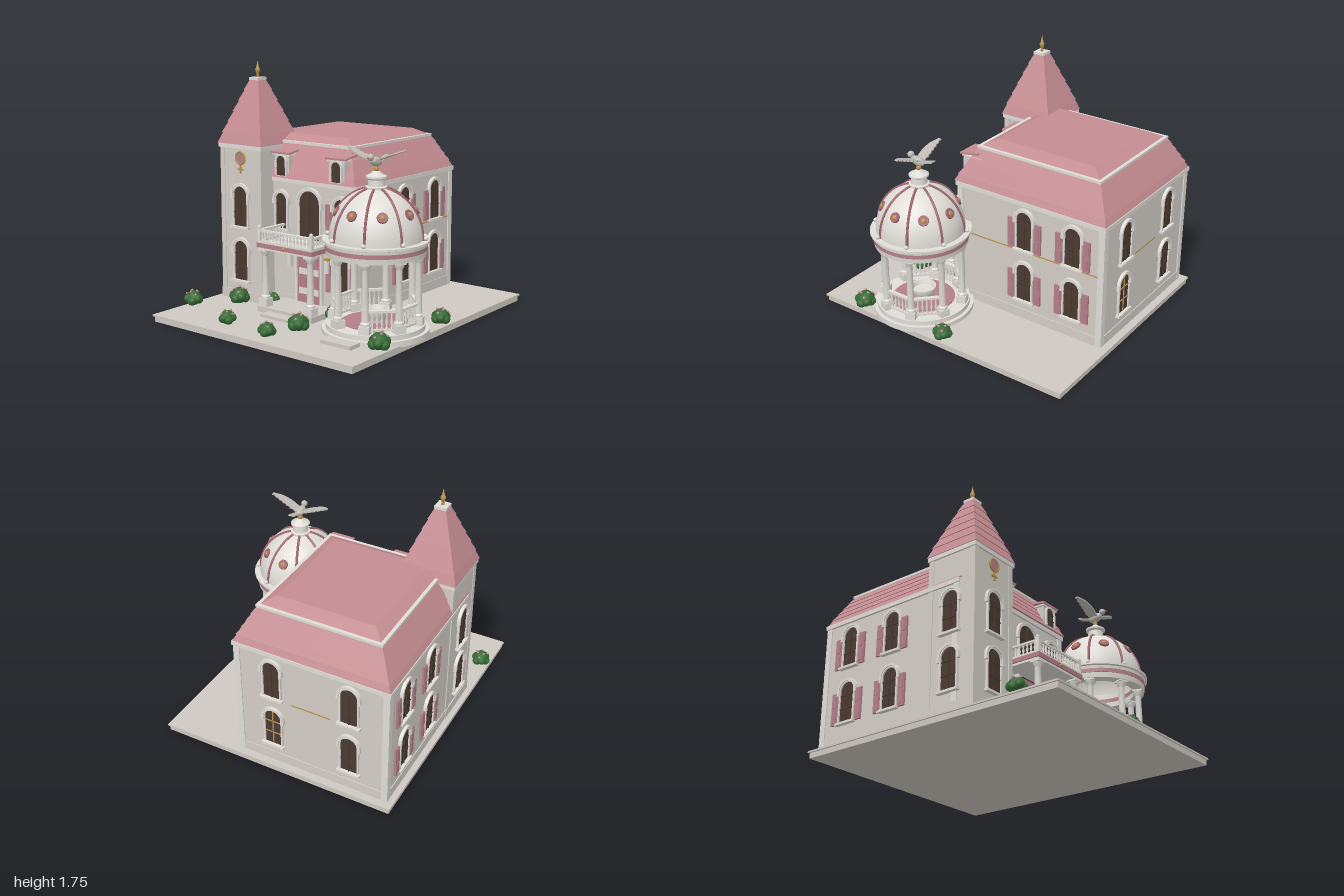
import * as THREE from 'three';
import { toCreasedNormals } from 'three/addons/utils/BufferGeometryUtils.js';

const mat = (name, color, extra = {}) => Object.assign(new THREE.MeshStandardMaterial({ color, ...extra }), { name });
const M = {
  wall: mat('wall plaster', 0xd3cec6),
  trim: mat('pale trim', 0xe0ddd7),
  base: mat('paving', 0xcdc8c0),
  roof: mat('roof pink', 0xc48d92),
  pink: mat('shutter pink', 0xb57e87),
  rib: mat('deep rose', 0xa0656f),
  glass: mat('dark glass', 0x4a3a31),
  gold: mat('gold', 0xb8924a),
  leaf: mat('leaf green', 0x356b33),
  bird: mat('bird stone', 0xbfbbb4),
};

function add(parent, name, geo, m, x = 0, y = 0, z = 0) {
  const mesh = new THREE.Mesh(geo, m);
  mesh.name = name;
  mesh.position.set(x, y, z);
  parent.add(mesh);
  return mesh;
}
function group(parent, name, x = 0, y = 0, z = 0, ry = 0) {
  const g = new THREE.Group();
  g.name = name;
  g.position.set(x, y, z);
  g.rotation.y = ry;
  parent.add(g);
  return g;
}
// Box standing on y0
const box = (p, name, m, w, h, d, x, y0, z) => add(p, name, new THREE.BoxGeometry(w, h, d), m, x, y0 + h / 2, z);
// Box with a scaled top, standing on y0
function frustum(p, name, m, w0, d0, w1, d1, h, x, y0, z) {
  const g = new THREE.BoxGeometry(w0, h, d0), a = g.attributes.position;
  for (let i = 0; i < a.count; i++) if (a.getY(i) > 0) a.setXYZ(i, a.getX(i) * w1 / w0, h / 2, a.getZ(i) * d1 / d0);
  g.computeVertexNormals();
  return add(p, name, g, m, x, y0 + h / 2, z);
}
// Sloping roof made of overlapping courses
function courses(p, name, n, w0, d0, w1, d1, y0, y1, x, z, lip) {
  const h = (y1 - y0) / n, mix = THREE.MathUtils.lerp;
  for (let i = 0; i < n; i++) {
    const a = i / n, b = (i + 1) / n, o = i ? lip : 0;
    frustum(p, name, M.roof, mix(w0, w1, a) + o, mix(d0, d1, a) + o, mix(w0, w1, b), mix(d0, d1, b), h, x, y0 + i * h, z);
  }
}
const lathe = (pts, seg = 16) =>
  toCreasedNormals(new THREE.LatheGeometry(pts.map(([r, y]) => new THREE.Vector2(r, y)), seg), 0.6);

function archShape(w, h, Kind = THREE.Shape) {
  const s = new Kind(), r = w / 2;
  s.moveTo(-r, 0);
  s.lineTo(r, 0);
  s.lineTo(r, h - r);
  s.absarc(0, h - r, r, 0, Math.PI, false);
  s.lineTo(-r, 0);
  return s;
}
const extrude = (s, depth) => new THREE.ExtrudeGeometry(s, { depth, bevelEnabled: false, curveSegments: 10 });

// Arched window facing +z in its own frame, with surround, hood, sill and optional shutters
function archWindow(p, x, y, z, ry, w, h, { shutters = [], bars = M.glass, hood = true } = {}) {
  const g = group(p, 'archedWindow', x, y, z, ry), r = w / 2, top = h - r;
  add(g, 'glass', extrude(archShape(w, h), 0.006), M.glass);
  const ring = archShape(w + 0.022, h + 0.011);
  ring.holes.push(archShape(w - 0.002, h - 0.001, THREE.Path));
  add(g, 'surround', extrude(ring, 0.016), M.trim);
  box(g, 'mullion', bars, 0.007, h - 0.005, 0.012, 0, 0, 0.006);
  for (const t of [0.33, 0.66]) box(g, 'glazingBar', bars, w, 0.006, 0.01, 0, h * t, 0.006);
  if (hood) {
    const s = new THREE.Shape();
    s.absarc(0, top, r + 0.024, 0, Math.PI, false);
    s.absarc(0, top, r + 0.008, Math.PI, 0, true);
    add(g, 'hood', extrude(s, 0.022), M.trim);
    for (const k of [-1, 1]) box(g, 'hoodEnd', M.trim, 0.018, 0.03, 0.022, k * (r + 0.016), top - 0.03, 0.011);
    box(g, 'sill', M.trim, w + 0.045, 0.016, 0.035, 0, -0.016, 0.012);
  }
  for (const k of shutters) {
    const sx = k * (r + 0.045);
    box(g, 'shutter', M.pink, 0.054, 0.22, 0.014, sx, -0.005, 0.007);
    for (const t of [0.01, 0.115]) box(g, 'shutterPanel', M.pink, 0.036, 0.085, 0.006, sx, t, 0.015);
  }
  return g;
}

const balusterGeo = lathe([[0.008, 0], [0.008, 0.1], [0.004, 0.2], [0.01, 0.42], [0.004, 0.75], [0.008, 0.9], [0.008, 1]], 8);
function railing(p, x0, z0, x1, z1, y, h, n) {
  const len = Math.hypot(x1 - x0, z1 - z0);
  const g = group(p, 'railing', (x0 + x1) / 2, y, (z0 + z1) / 2, Math.atan2(z0 - z1, x1 - x0));
  box(g, 'bottomRail', M.trim, len, 0.014, 0.02, 0, 0, 0);
  box(g, 'topRail', M.trim, len, 0.014, 0.026, 0, h - 0.014, 0);
  for (let i = 0; i < n; i++)
    add(g, 'baluster', balusterGeo, M.trim, ((i + 0.5) / n - 0.5) * len, 0.012, 0).scale.set(1, h - 0.024, 1);
}
function column(p, x, z, y0, y1, r, ry = 0) {
  const g = group(p, 'column', x, y0, z, ry), h = y1 - y0;
  box(g, 'pedestal', M.trim, r * 2.9, 0.055, r * 2.9, 0, 0, 0);
  add(g, 'shaft', lathe([[r * 1.35, 0.055], [r * 1.35, 0.07], [r, 0.08], [r * 0.85, h - 0.05], [r * 1.2, h - 0.035], [r * 1.4, h - 0.015]], 14), M.trim);
  box(g, 'capital', M.trim, r * 2.9, 0.016, r * 2.9, 0, h - 0.016, 0);
}

function buildHouse(root) {
  const g = group(root, 'house'), cx = -0.28, cz = -0.36;
  box(g, 'walls', M.wall, 1.1, 0.9, 1.16, cx, 0.04, cz);
  box(g, 'plinth', M.wall, 1.112, 0.08, 1.172, cx, 0.04, cz);
  for (const x of [-0.815, 0.255]) for (const z of [-0.925, 0.205])
    box(g, 'cornerPilaster', M.trim, 0.045, 0.88, 0.045, x, 0.04, z);
  box(g, 'cornice', M.trim, 1.13, 0.03, 1.19, cx, 0.92, cz);
  box(g, 'goldCourse', M.gold, 0.012, 0.008, 1.09, 0.267, 0.571, cz);
  box(g, 'goldCourse', M.gold, 0.28, 0.008, 0.012, cx, 0.571, -0.937);
  // Mansard roof and upper hip
  courses(g, 'mansardCourse', 5, 1.12, 1.2, 0.88, 0.96, 0.95, 1.18, cx, -0.35, 0.012);
  box(g, 'roofCurb', M.trim, 0.89, 0.018, 0.97, cx, 1.178, -0.35);
  frustum(g, 'upperRoof', M.roof, 0.85, 0.93, 0.69, 0.76, 0.044, cx, 1.194, -0.35);
  // Dormers
  for (const x of [-0.365, 0.12]) {
    const d = group(g, 'dormer', x, 0.95, 0);
    box(d, 'dormerBox', M.wall, 0.13, 0.16, 0.16, 0, 0, 0.155);
    archWindow(d, 0, 0.015, 0.236, 0, 0.082, 0.14, { hood: false });
    box(d, 'dormerTrim', M.trim, 0.155, 0.012, 0.17, 0, 0.155, 0.16);
    const r = box(d, 'dormerRoof', M.roof, 0.17, 0.014, 0.15, 0, 0.178, 0.18);
    r.rotation.x = 0.15;
  }
  // Side and back windows
  for (const z of [-0.33, -0.71]) for (const y of [0.2, 0.595]) {
    archWindow(g, 0.27, y, z, Math.PI / 2, 0.12, 0.28, { shutters: [-1, 1] });
    archWindow(g, -0.83, y, z, -Math.PI / 2, 0.12, 0.28, { shutters: [-1, 1] });
  }
  for (const x of [0, -0.56]) for (const y of [0.2, 0.595])
    archWindow(g, x, y, -0.94, Math.PI, 0.12, 0.28, { bars: x === 0 && y < 0.5 ? M.gold : M.glass });
  // Front windows
  archWindow(g, 0.15, 0.2, 0.22, 0, 0.12, 0.28, { shutters: [-1, 1] });
  archWindow(g, 0.15, 0.59, 0.22, 0, 0.12, 0.26, { shutters: [-1, 1] });
  archWindow(g, -0.38, 0.59, 0.22, 0, 0.1, 0.25);
  archWindow(g, -0.125, 0.535, 0.22, 0, 0.18, 0.345);
}

function buildTower(root) {
  const g = group(root, 'tower', -0.645, 0, 0.165);
  box(g, 'towerWalls', M.wall, 0.375, 1.1, 0.375, 0, 0.04, 0);
  box(g, 'towerPlinth', M.wall, 0.39, 0.08, 0.39, 0, 0.04, 0);
  for (const x of [-1, 1]) for (const z of [-1, 1])
    box(g, 'towerPilaster', M.wall, 0.04, 1.1, 0.04, x * 0.172, 0.04, z * 0.172);
  box(g, 'towerCornice', M.trim, 0.4, 0.035, 0.4, 0, 1.14, 0);
  courses(g, 'spireCourse', 6, 0.41, 0.41, 0.075, 0.075, 1.17, 1.615, 0, 0, 0.012);
  box(g, 'spireCap', M.trim, 0.085, 0.02, 0.085, 0, 1.61, 0);
  add(g, 'finial', lathe([[0.012, 1.63], [0.008, 1.65], [0.016, 1.67], [0.018, 1.685], [0.01, 1.7], [0, 1.75]], 10), M.gold);
  for (const y of [0.2, 0.59]) {
    archWindow(g, 0, y, 0.188, 0, 0.125, 0.285);
    archWindow(g, -0.188, y, 0, -Math.PI / 2, 0.125, 0.285);
  }
  // Round medallion with a small cross
  add(g, 'medallionRing', new THREE.TorusGeometry(0.043, 0.007, 8, 28), M.gold, 0, 1.075, 0.192);
  add(g, 'medallionFace', new THREE.CylinderGeometry(0.04, 0.04, 0.008, 24), M.pink, 0, 1.075, 0.191).rotation.x = Math.PI / 2;
  box(g, 'medallionStem', M.gold, 0.011, 0.07, 0.01, 0, 0.965, 0.192);
  box(g, 'medallionBar', M.gold, 0.05, 0.011, 0.01, 0, 0.99, 0.192);
}

function buildPorch(root) {
  const g = group(root, 'porch', -0.127, 0, 0);
  box(g, 'porchFloor', M.base, 0.485, 0.045, 0.28, 0, 0.045, 0.36);
  box(g, 'porchStep', M.base, 0.28, 0.025, 0.09, 0, 0.045, 0.54);
  box(g, 'balconySlab', M.trim, 0.47, 0.02, 0.27, 0, 0.49, 0.355);
  box(g, 'balconyBand', M.pink, 0.488, 0.03, 0.28, 0, 0.505, 0.36);
  box(g, 'balconyFloor', M.trim, 0.475, 0.006, 0.27, 0, 0.533, 0.358);
  add(g, 'balconyBoss', new THREE.SphereGeometry(0.012, 10, 8), M.gold, 0, 0.52, 0.502);
  for (const k of [-1, 1]) {
    column(g, k * 0.2, 0.46, 0.09, 0.495, 0.024);
    box(g, 'railPost', M.trim, 0.024, 0.105, 0.024, k * 0.228, 0.535, 0.483);
    add(g, 'postBall', new THREE.SphereGeometry(0.013, 10, 8), M.trim, k * 0.228, 0.645, 0.483);
    railing(g, k * 0.228, 0.23, k * 0.228, 0.475, 0.537, 0.09, 8);
    box(g, 'lantern', M.trim, 0.03, 0.09, 0.03, k * 0.165, 0.33, 0.24);
    box(g, 'lanternCap', M.gold, 0.036, 0.012, 0.036, k * 0.165, 0.42, 0.24);
    // Door leaf
    box(g, 'doorLeaf', M.pink, 0.1, 0.39, 0.02, k * 0.051, 0.09, 0.226);
    for (const y of [0.15, 0.29]) box(g, 'doorPanel', M.trim, 0.072, 0.045, 0.006, k * 0.051, y, 0.236);
    for (const y of [0.215, 0.36]) box(g, 'doorPanel', M.pink, 0.06, 0.055, 0.008, k * 0.051, y, 0.237);
    add(g, 'doorKnob', new THREE.SphereGeometry(0.007, 8, 6), M.gold, k * 0.012, 0.27, 0.242);
    box(g, 'doorJamb', M.trim, 0.018, 0.4, 0.03, k * 0.112, 0.09, 0.23);
  }
  box(g, 'transom', M.glass, 0.21, 0.015, 0.02, 0, 0.48, 0.226);
  railing(g, -0.216, 0.483, 0.216, 0.483, 0.537, 0.09, 14);
}

function buildGazebo(root) {
  const g = group(root, 'gazebo', 0.53, 0, 0.35), E = Math.PI / 4;
  add(g, 'platform', lathe([[0, 0.04], [0.35, 0.04], [0.35, 0.08], [0.325, 0.08], [0.325, 0.112], [0, 0.112]], 48), M.trim);
  add(g, 'rosePaving', new THREE.CylinderGeometry(0.22, 0.22, 0.006, 40), M.pink, 0, 0.114, 0);
  box(g, 'gazeboStep', M.base, 0.24, 0.03, 0.1, 0, 0.045, 0.375);
  add(g, 'basin', lathe([[0, 0.11], [0.06, 0.11], [0.06, 0.125], [0.075, 0.15], [0.09, 0.19], [0.09, 0.2], [0.078, 0.2], [0.068, 0.17], [0, 0.165]], 28), M.trim);
  // Entablature and dome, open underneath
  add(g, 'lowerRing', lathe([[0.25, 0.6], [0.25, 0.565], [0.322, 0.565], [0.326, 0.6], [0.25, 0.6]], 48), M.trim);
  add(g, 'roseBand', lathe([[0.25, 0.6], [0.329, 0.6], [0.329, 0.628], [0.25, 0.628], [0.25, 0.6]], 48), M.pink);
  add(g, 'upperRing', lathe([[0.25, 0.628], [0.33, 0.628], [0.333, 0.648], [0.347, 0.652], [0.347, 0.665], [0.25, 0.665], [0.25, 0.628]], 48), M.trim);
  const R = 0.305, H = 0.33, Y = 0.665;
  const arc = (o, t) => [(R + o) * Math.cos(t), Y + (H + o) * Math.sin(t)];
  const profile = [];
  for (let i = 0; i <= 14; i++) profile.push(arc(0, i / 14 * Math.PI / 2));
  for (let i = 14; i >= 0; i--) profile.push(arc(-0.012, i / 14 * Math.PI / 2));
  add(g, 'dome', lathe(profile, 48), M.trim);
  const ribCurve = new THREE.CatmullRomCurve3([0, 0.25, 0.5, 0.75, 1, 1.25, 1.42].map(t => new THREE.Vector3(0, arc(0.002, t)[1], arc(0.002, t)[0])));
  const ribGeo = new THREE.TubeGeometry(ribCurve, 20, 0.009, 6);
  for (let i = 0; i < 8; i++) {
    const a = (i + 0.5) * E, b = a + E;
    const s = group(g, 'gazeboBay', 0, 0, 0, a);
    add(s, 'domeRib', ribGeo, M.rib);
    add(s, 'ribBall', new THREE.SphereGeometry(0.015, 12, 8), M.trim, 0, 0.68, 0.325);
    column(s, 0, 0.28, 0.11, 0.57, 0.024);
    const m = group(g, 'domeMedallion', 0, 0, 0, i * E), [r, y] = arc(0.002, 0.58);
    const disc = group(m, 'disc', 0, y, r);
    disc.rotation.x = Math.PI / 2 - 0.55;
    add(disc, 'medallionDisc', new THREE.CylinderGeometry(0.034, 0.037, 0.014, 16), M.rib);
    add(disc, 'medallionCentre', new THREE.SphereGeometry(0.018, 12, 8), M.gold, 0, 0.005, 0).scale.y = 0.6;
    // The bays facing front and back stay open
    if (i !== 3 && i !== 7) railing(g, 0.28 * Math.sin(a), 0.28 * Math.cos(a), 0.28 * Math.sin(b), 0.28 * Math.cos(b), 0.125, 0.135, 7);
  }
  add(g, 'domeLantern', lathe([[0.07, 0.98], [0.07, 1.0], [0.055, 1.005], [0.052, 1.045], [0.068, 1.055], [0.068, 1.068], [0.035, 1.085], [0.02, 1.1], [0, 1.1]], 24), M.trim);
  add(g, 'perch', new THREE.SphereGeometry(0.018, 12, 8), M.gold, 0, 1.112, 0);

  // Bird with spread wings
  const b = group(g, 'bird', 0, 1.16, 0);
  const body = add(b, 'body', new THREE.SphereGeometry(0.032, 16, 12), M.bird, 0, 0, 0.005);
  body.scale.set(0.95, 0.95, 1.7);
  body.rotation.x = -0.25;
  add(b, 'head', new THREE.SphereGeometry(0.023, 14, 10), M.bird, 0, 0.033, 0.062);
  add(b, 'beak', new THREE.ConeGeometry(0.008, 0.03, 8), M.gold, 0, 0.03, 0.094).rotation.x = Math.PI / 2;
  const tail = box(b, 'tail', M.bird, 0.045, 0.008, 0.1, 0, 0.008, -0.08);
  tail.rotation.x = 0.3;
  for (const k of [-1, 1]) {
    add(b, 'leg', new THREE.CylinderGeometry(0.004, 0.004, 0.04, 6), M.gold, k * 0.012, -0.035, 0.005);
    const s = new THREE.Shape();
    s.moveTo(0, -0.03);
    s.quadraticCurveTo(0.09, -0.06, 0.17, -0.035);
    s.lineTo(0.225, -0.005);
    for (let i = 0; i < 6; i++) {
      s.lineTo(0.222 - i * 0.034, 0.018 + i * 0.004);
      s.lineTo(0.2 - i * 0.034, 0.01 + i * 0.004);
    }
    s.lineTo(0, 0.04);
    const wing = group(b, 'wing', k * 0.015, 0.006, 0.0, k < 0 ? Math.PI : 0);
    const w = add(wing, 'feathers', extrude(s, 0.009), M.bird);
    w.rotation.set(k > 0 ? -Math.PI / 2 : Math.PI / 2, 0, 0);
    if (k > 0) w.scale.y = 1;
    wing.rotation.set(0, k < 0 ? Math.PI : 0, 0.36 * 1);
  }
}

// Clipped shrub made of leafy lumps, topped with blossoms
function bush(root, x, z, r, seed) {
  const g = group(root, 'bush', x, 0.05, z, seed * 1.3);
  const leaf = new THREE.IcosahedronGeometry(1, 1);
  const lump = (px, py, pz, s) => add(g, 'foliage', leaf, M.leaf, px, py, pz).scale.set(s, s * 0.95, s);
  lump(0, r * 0.85, 0, r * 0.85);
  for (let i = 0; i < 6; i++) {
    const a = i * Math.PI / 3;
    lump(Math.cos(a) * r * 0.52, r * (0.62 + 0.2 * (i % 2)), Math.sin(a) * r * 0.52, r * 0.52);
    add(g, 'blossom', new THREE.IcosahedronGeometry(r * 0.13, 1), M.roof,
      Math.cos(a + 0.4) * r * (0.4 + 0.3 * (i % 2)), r * (1.6 - 0.28 * (i % 2)), Math.sin(a + 0.4) * r * (0.4 + 0.3 * (i % 2)));
  }
}

export function createModel() {
  const root = new THREE.Group();
  root.name = 'houseWithGazebo';
  box(root, 'groundSlab', M.base, 1.7, 0.04, 1.98, -0.02, 0, 0);
  box(root, 'groundTop', M.base, 1.72, 0.012, 2, -0.02, 0.038, 0);
  buildHouse(root);
  buildTower(root);
  buildPorch(root);
  buildGazebo(root);
  const spots = [[0.79, 0.03, 1], [-0.4, 0.315, 0.85], [-0.6, 0.435, 1.1], [0.15, 0.315, 0.85], [-0.82, 0.67, 1],
    [0.15, 0.675, 1.1], [-0.32, 0.845, 0.9], [0.065, 0.885, 0.9], [0.79, 0.665, 1.1]];
  spots[0][1] = -0.025;
  spots.forEach(([x, z, s], i) => bush(root, x, z, 0.066 * s, i));
  return root;
}
